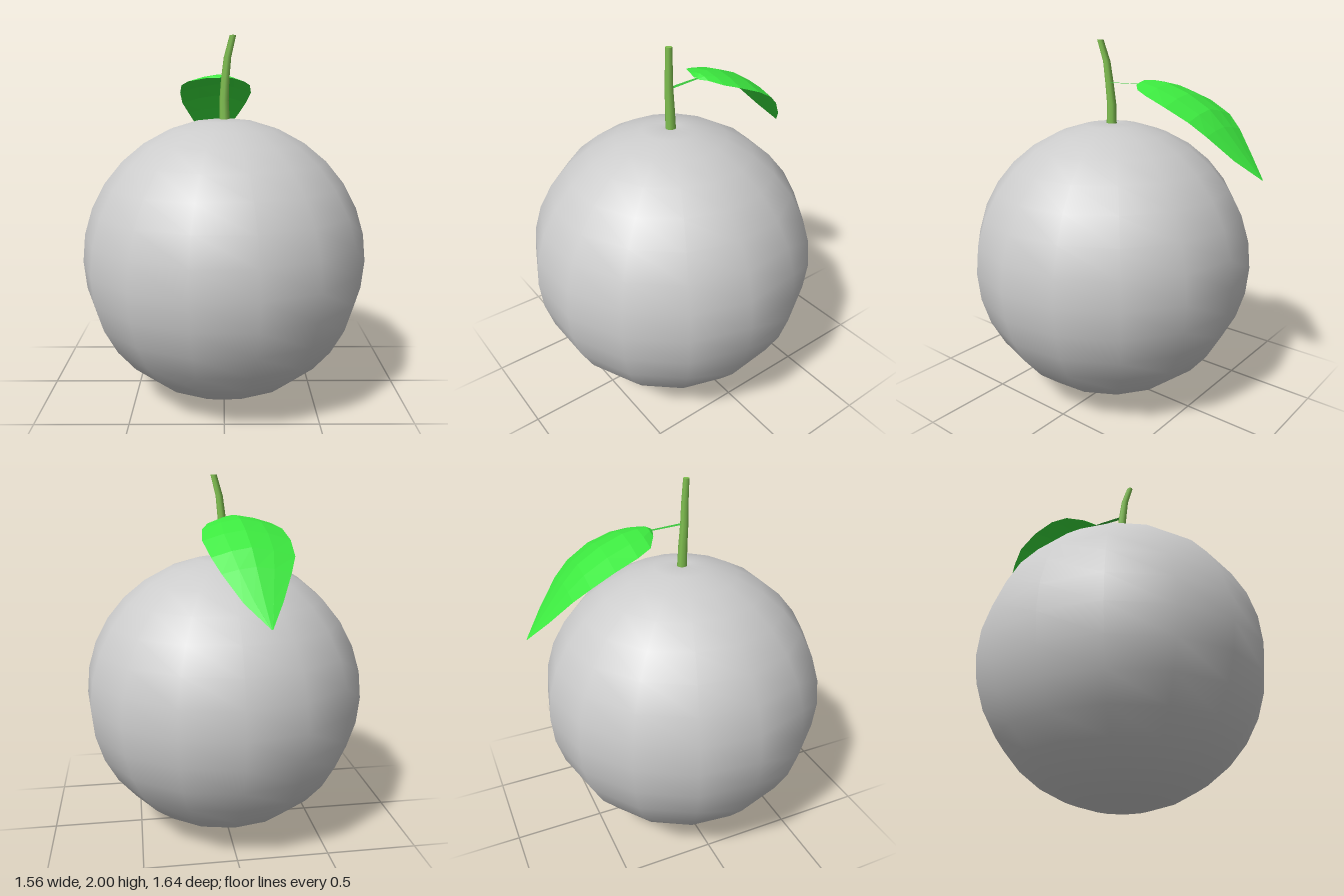
import * as THREE from 'three';

const mat = (color, extra = {}) => {
  const m = new THREE.MeshStandardMaterial({ color });
  return Object.assign(m, extra);
};

function add(group, name, geometry, material) {
  const mesh = new THREE.Mesh(geometry, material);
  mesh.name = name;
  group.add(mesh);
  return mesh;
}

// Double-sided strip surface through rows of equally many points
function loft(rows) {
  const n = rows[0].length;
  const index = [];
  for (let i = 0; i < rows.length - 1; i++) {
    for (let j = 0; j < n - 1; j++) {
      const a = i * n + j, b = a + 1, c = a + n, d = c + 1;
      index.push(a, b, c, b, d, c);
    }
  }
  const g = new THREE.BufferGeometry();
  g.setAttribute('position', new THREE.Float32BufferAttribute(rows.flat(2), 3));
  g.setIndex(index);
  g.computeVertexNormals();
  return g;
}

export function createModel() {
  const group = new THREE.Group();

  // Fruit: 15 sides, 16 rows, with a tiny dimple under the stem
  const profile = [];
  for (let i = 0; i < 16; i++) {
    const a = (i / 16) * Math.PI;
    profile.push(new THREE.Vector2(0.784 * Math.sin(a), 0.787 - 0.782 * Math.cos(a)));
  }
  profile.push(new THREE.Vector2(0.05, 1.565), new THREE.Vector2(0, 1.545));
  const fruit = add(group, 'fruit', new THREE.LatheGeometry(profile, 15, Math.PI), mat(0xcccccc));
  fruit.position.z = 0.049;

  // Stem: tapered cylinder whose rings follow a bent path
  const path = [[0.003, 0.05], [0, 0.052], [0.006, 0.062], [0.018, 0.07], [0.046, 0.09]];
  const stemGeo = new THREE.CylinderGeometry(0.017, 0.028, 0.45, 8, path.length - 1);
  const p = stemGeo.attributes.position;
  for (let i = 0; i < p.count; i++) {
    const k = Math.round((p.getY(i) / 0.45 + 0.5) * (path.length - 1));
    p.setXYZ(i, p.getX(i) + path[k][0], p.getY(i) + 1.775, p.getZ(i) + path[k][1]);
  }
  add(group, 'stem', stemGeo, mat(0x7fbf4f));

  // Leaf stalk: thin flat ribbon narrowing to a point on the leaf
  const stalkRows = [[0.012, 0.05, 0.013], [-0.005, -0.06, 0.011], [-0.016, -0.14, 0.009], [-0.03, -0.22, 0.001]]
    .map(([x, z, w]) => [[x - w, 1.778, z], [x + w, 1.778, z]]);
  add(group, 'leafStalk', loft(stalkRows.reverse()), mat(0x3cc83f, { side: THREE.DoubleSide }));

  // Leaf: z, left edge x, midrib x, right edge x, midrib y, drop of the edges
  const leafRows = [
    [-0.82, -0.097, -0.093, -0.089, 1.35, 0.0],
    [-0.72, -0.163, -0.075, 0.018, 1.465, 0.015],
    [-0.61, -0.226, -0.06, 0.1, 1.595, 0.03],
    [-0.53, -0.26, -0.052, 0.138, 1.675, 0.045],
    [-0.41, -0.265, -0.043, 0.165, 1.745, 0.05],
    [-0.29, -0.249, -0.036, 0.153, 1.79, 0.05],
    [-0.21, -0.207, -0.03, 0.116, 1.802, 0.04],
    [-0.155, -0.105, -0.02, 0.052, 1.8, 0.02],
    [-0.128, -0.03, -0.01, 0.01, 1.785, 0.005],
  ].map(([z, l, m, r, y, drop]) => [-1, -0.5, 0, 0.5, 1].map((t) => [
    m + Math.abs(t) * ((t < 0 ? l : r) - m), y - drop * Math.abs(t) ** 1.5, z,
  ]));
  // Corners are ordered so that the upper side faces up
  leafRows.forEach((row) => row.reverse());
  leafRows.reverse();
  add(group, 'leaf', loft(leafRows), mat(0x3ce83f, { side: THREE.DoubleSide, flatShading: true }));

  return group;
}
